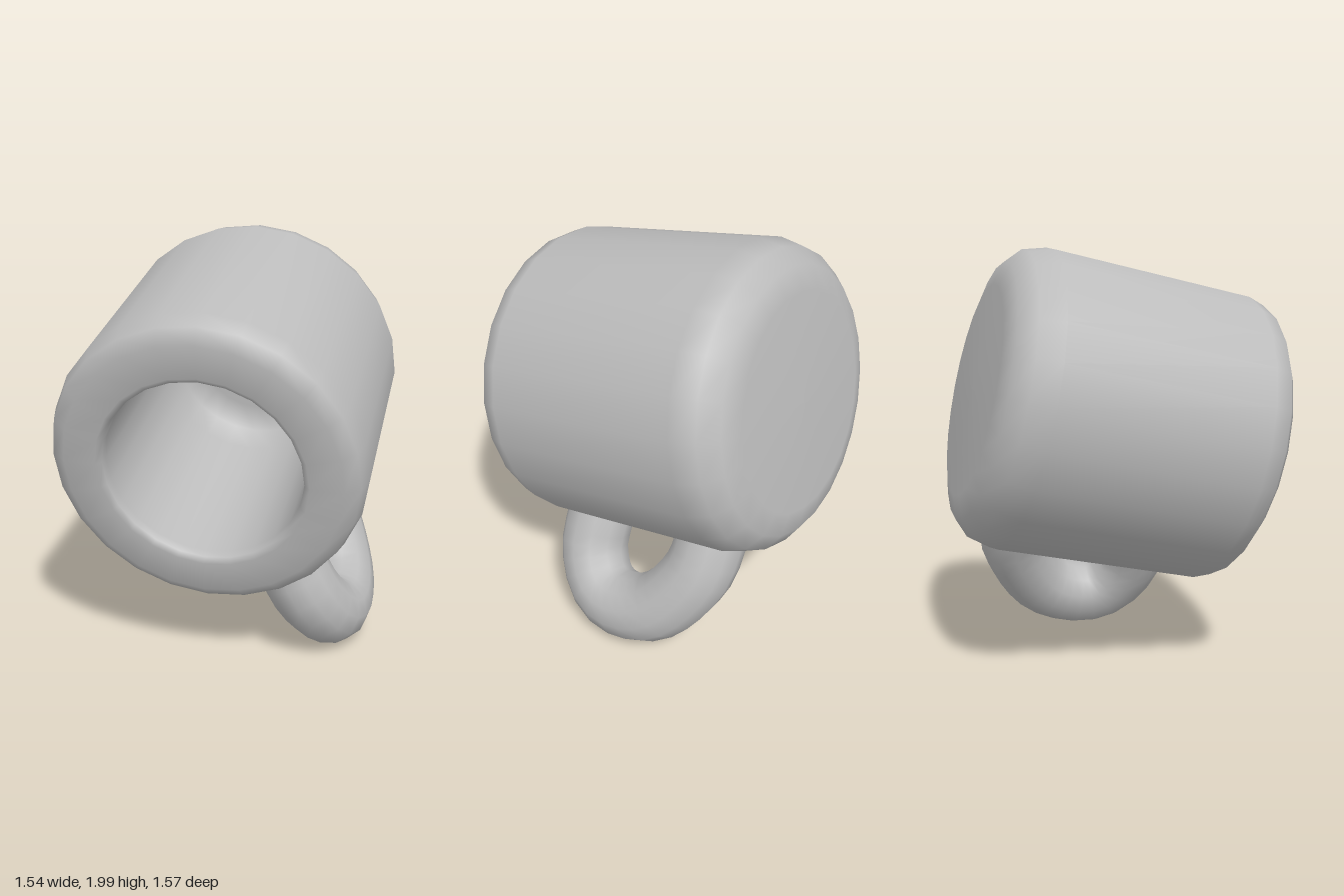
import * as THREE from 'three';

export function createModel() {
  const model = new THREE.Group();
  model.name = 'mug';
  const clay = new THREE.MeshStandardMaterial({ color: 0xbcbcbc });
  clay.name = 'grey clay';

  // Tilted frame: local y leaves the mouth, local x points at the handle
  const axis = new THREE.Vector3(0.116, -0.213, 0.97).normalize();
  const out = new THREE.Vector3(0.443, -0.862, -0.243);
  out.addScaledVector(axis, -out.dot(axis)).normalize();
  const side = new THREE.Vector3().crossVectors(out, axis);
  const tilted = new THREE.Group();
  tilted.name = 'tiltedMug';
  tilted.quaternion.setFromRotationMatrix(new THREE.Matrix4().makeBasis(out, axis, side));
  tilted.position.set(0.08, 1.065, 0.645);
  model.add(tilted);

  const add = (name, geometry) => {
    const mesh = new THREE.Mesh(geometry, clay);
    mesh.name = name;
    tilted.add(mesh);
  };

  // Body: closed base, outer wall, thick lip, inner wall and rounded floor
  const profile = [
    [0, -1.34], [0.5, -1.335], [0.61, -1.305], [0.685, -1.235], [0.72, -1.12],
    [0.72, -0.13], [0.695, -0.045], [0.63, 0],
    [0.48, 0], [0.455, -0.02], [0.45, -0.06],
    [0.45, -0.95], [0.41, -1.07], [0.3, -1.13], [0, -1.15],
  ].map(([r, y]) => new THREE.Vector2(r, y));
  add('body', new THREE.LatheGeometry(profile, 24));

  // Handle: round loop with both ends buried in the wall
  const path = new THREE.CatmullRomCurve3([
    [0.56, -0.29], [0.72, -0.262], [0.89, -0.243], [1.06, -0.31], [1.13, -0.42],
    [1.127, -0.59], [1.065, -0.715], [0.874, -0.884], [0.72, -0.935], [0.56, -0.95],
  ].map(([x, y]) => new THREE.Vector3(x, y, 0)));
  add('handle', new THREE.TubeGeometry(path, 20, 0.17, 12, false));

  return model;
}
